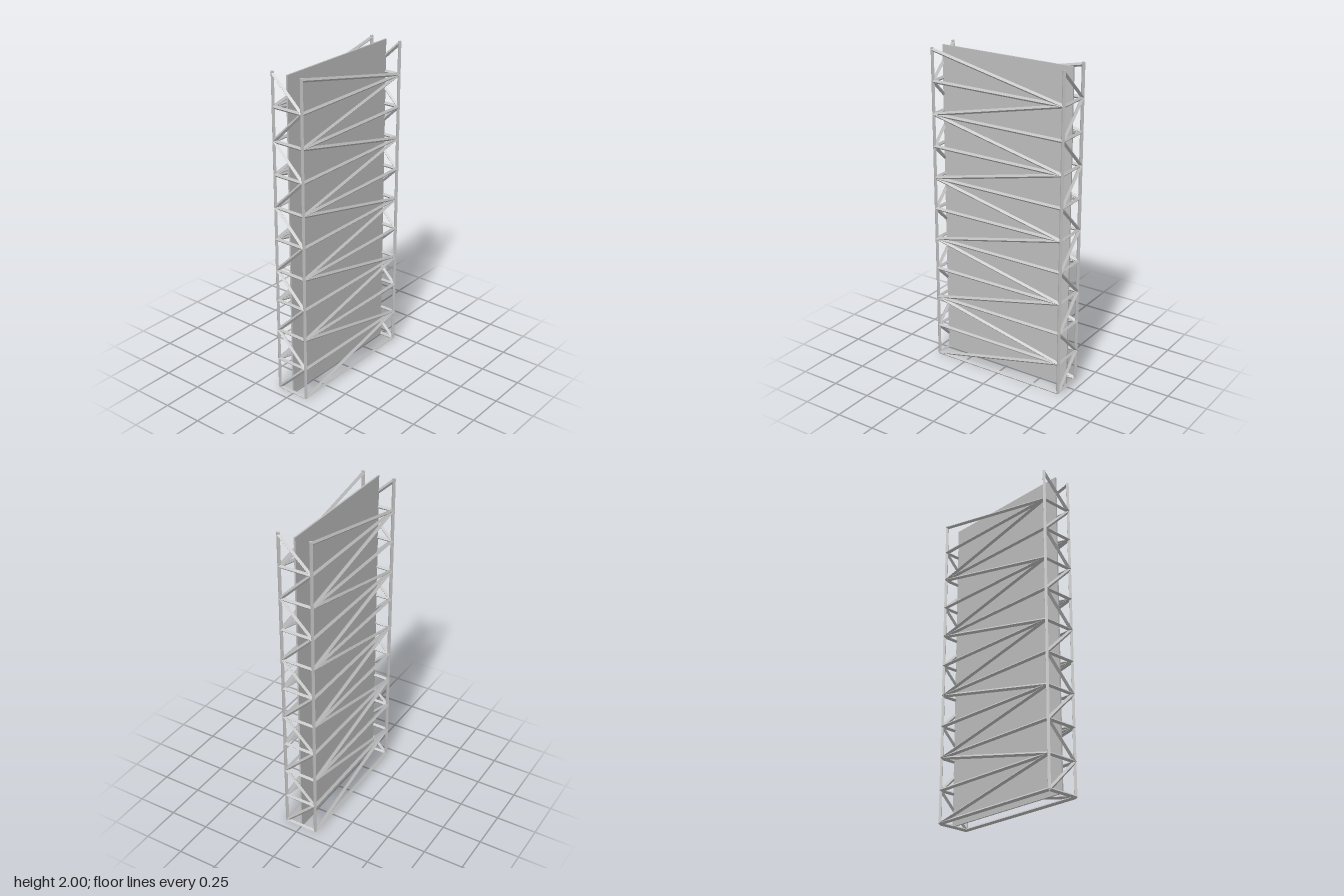
import * as THREE from 'three';

export function createModel() {
  const group = new THREE.Group();
  const steel = new THREE.MeshStandardMaterial({ color: 0xbcbcbc, flatShading: true });
  steel.name = 'light grey steel';

  const X = 0.101, Z = 0.441, R = 0.0115;
  const BAYS = 10, BASE = 0.0115, STEP = 0.1987, TOP = 1.988;
  const level = (i) => Math.min(BASE + i * STEP, TOP);
  const UP = new THREE.Vector3(0, 1, 0);

  // Four-sided bar between two points
  function bar(name, a, b) {
    const dir = b.clone().sub(a);
    const mesh = new THREE.Mesh(new THREE.CylinderGeometry(R, R, dir.length(), 4), steel);
    mesh.position.copy(a).add(b).multiplyScalar(0.5);
    mesh.quaternion.setFromUnitVectors(UP, dir.normalize());
    mesh.name = name;
    group.add(mesh);
  }

  // Corners in order around the tower; braces start at the first corner of each side
  const corners = [[X, Z], [X, -Z], [-X, -Z], [-X, Z]];
  const at = ([x, z], y) => new THREE.Vector3(x, y, z);
  const sides = [
    ['left', corners[0], corners[1]],
    ['back', corners[1], corners[2]],
    ['right', corners[2], corners[3]],
    ['front', corners[3], corners[0]],
  ];

  // Corner posts
  corners.forEach((c) => bar('cornerPost', at(c, BASE), at(c, 2)));

  // Horizontal rungs and zigzag braces on each side
  for (const [side, p, q] of sides) {
    for (let i = 0; i < BAYS; i++) {
      const [from, to] = i % 2 ? [q, p] : [p, q];
      bar(side + 'Rung', at(p, level(i)), at(q, level(i)));
      bar(side + 'Brace', at(from, level(i)), at(to, level(i + 1)));
    }
  }

  // Solid centre panel
  const bottom = 0.0115, top = 1.997;
  const panel = new THREE.Mesh(new THREE.BoxGeometry(0.01, top - bottom, 2 * Z), steel);
  panel.position.y = (top + bottom) / 2;
  panel.name = 'centrePanel';
  group.add(panel);

  return group;
}
